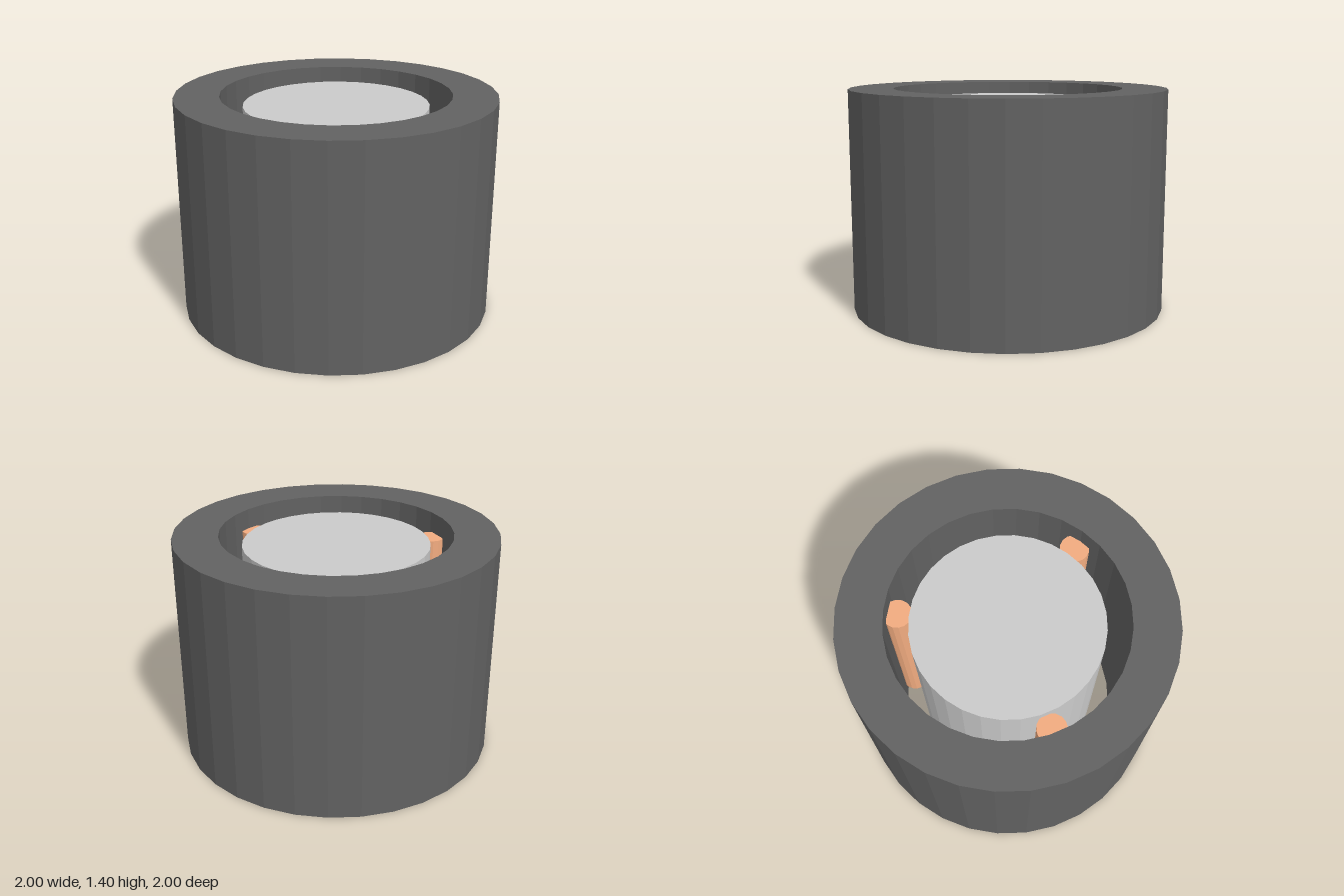
import * as THREE from 'three';

const SEGMENTS = 32;
const HEIGHT = 1.4;

function mesh(name, geometry, color) {
  const material = new THREE.MeshStandardMaterial({ color, flatShading: true });
  const part = new THREE.Mesh(geometry, material);
  part.name = name;
  return part;
}

export function createModel() {
  const model = new THREE.Group();
  model.name = 'sleeveWithCore';

  // Thick outer sleeve, open through the middle
  const profile = [[0.72, 0], [1, 0], [1, HEIGHT], [0.72, HEIGHT], [0.72, 0]]
    .map(([x, y]) => new THREE.Vector2(x, y));
  model.add(mesh('outerSleeve', new THREE.LatheGeometry(profile, SEGMENTS), 0x626262));

  // Solid core, slightly recessed at both ends
  const core = mesh('core', new THREE.CylinderGeometry(0.58, 0.58, 1.26, SEGMENTS), 0xcccccc);
  core.position.y = HEIGHT / 2;
  model.add(core);

  // Three rods wedged between core and sleeve
  const rodGeometry = new THREE.CylinderGeometry(0.09, 0.09, 1.14, 16);
  const rods = new THREE.Group();
  rods.name = 'spacerRods';
  for (let i = 0; i < 3; i++) {
    const angle = (i * Math.PI * 2) / 3;
    const rod = mesh('spacerRod' + (i + 1), rodGeometry, 0xf2ac80);
    rod.position.set(0.66 * Math.cos(angle), HEIGHT / 2, 0.66 * Math.sin(angle));
    rods.add(rod);
  }
  model.add(rods);

  return model;
}
